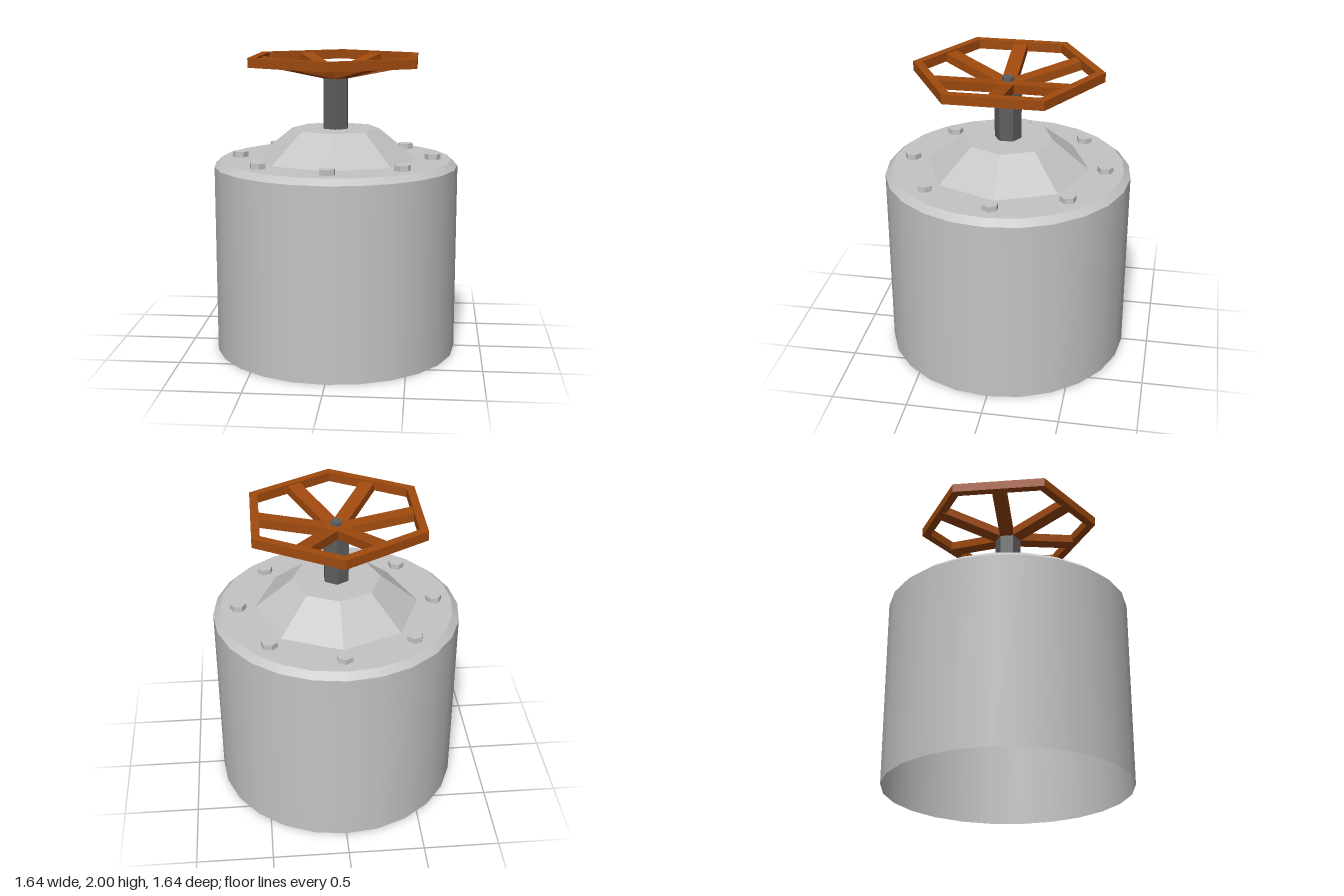
import * as THREE from 'three';

const castMetal = new THREE.MeshStandardMaterial({ color: 0xc4c4c4, side: THREE.DoubleSide });
castMetal.name = 'cast grey metal';
const stemMetal = new THREE.MeshStandardMaterial({ color: 0x5e5e5e });
stemMetal.name = 'dark stem metal';
const wheelPaint = new THREE.MeshStandardMaterial({ color: 0xa04a0e });
wheelPaint.name = 'rust orange paint';

// Flat facets: every face gets its own normals
function faceted(geometry) {
  const g = geometry.index ? geometry.toNonIndexed() : geometry;
  g.computeVertexNormals();
  return g;
}

function addMesh(parent, name, geometry, material) {
  const mesh = new THREE.Mesh(geometry, material);
  mesh.name = name;
  parent.add(mesh);
  return mesh;
}

// Upright frustum between two heights, with a corner on the z axis
function frustum(rTop, rBottom, y0, y1, sides, open = false) {
  return new THREE.CylinderGeometry(rTop, rBottom, y1 - y0, sides, 1, open)
    .translate(0, (y0 + y1) / 2, 0);
}

function hexPoints(radius) {
  return Array.from({ length: 6 }, (_, i) => {
    const a = Math.PI / 2 + i * Math.PI / 3;
    return new THREE.Vector2(radius * Math.cos(a), radius * Math.sin(a));
  });
}

function createHandwheel() {
  const wheel = new THREE.Group();
  wheel.name = 'handwheel';

  // Hexagonal rim
  const rimShape = new THREE.Shape(hexPoints(0.627));
  rimShape.holes.push(new THREE.Path(hexPoints(0.565)));
  const rim = new THREE.ExtrudeGeometry(rimShape, { depth: 0.062, bevelEnabled: false });
  rim.rotateX(-Math.PI / 2).translate(0, 1.938, 0);
  addMesh(wheel, 'wheelRim', rim, wheelPaint);

  // Hub and six spokes sloping down to it
  addMesh(wheel, 'wheelHub', faceted(frustum(0.095, 0.095, 1.85, 1.91, 6)), wheelPaint);
  const width = 0.095;
  const profile = new THREE.Shape([
    new THREE.Vector2(0.08, 1.85), new THREE.Vector2(0.535, 1.939),
    new THREE.Vector2(0.535, 1.998), new THREE.Vector2(0.08, 1.91),
  ]);
  const spoke = new THREE.ExtrudeGeometry(profile, { depth: width, bevelEnabled: false });
  spoke.translate(0, 0, -width / 2);
  for (let i = 0; i < 6; i++) {
    addMesh(wheel, 'wheelSpoke', spoke, wheelPaint).rotation.y = i * Math.PI / 3;
  }
  return wheel;
}

export function createModel() {
  const model = new THREE.Group();
  model.name = 'valve';

  // Hollow body, open underneath, with a chamfered lid
  addMesh(model, 'bodyWall', frustum(0.82, 0.82, 0, 1.27, 24, true), castMetal);
  addMesh(model, 'bodyChamfer', frustum(0.775, 0.82, 1.27, 1.31, 24, true), castMetal);
  const lid = new THREE.CircleGeometry(0.775, 24).rotateX(-Math.PI / 2).translate(0, 1.31, 0);
  addMesh(model, 'bodyLid', lid, castMetal);

  // Eight-sided bonnet
  addMesh(model, 'bonnet', faceted(frustum(0.295, 0.545, 1.311, 1.513, 8)), castMetal);

  // Ring of bolts, each with a corner pointing outwards
  const bolt = faceted(frustum(0.054, 0.054, 1.311, 1.347, 6)).translate(0, 0, 0.652);
  for (let i = 0; i < 8; i++) {
    addMesh(model, 'bolt', bolt, castMetal).rotation.y = i * Math.PI / 4;
  }

  // Stem with a thinner tip through the hub
  addMesh(model, 'stem', faceted(frustum(0.09, 0.09, 1.513, 1.851, 6)), stemMetal);
  addMesh(model, 'stemTip', faceted(frustum(0.04, 0.04, 1.85, 1.935, 6)), stemMetal);

  model.add(createHandwheel());
  return model;
}
